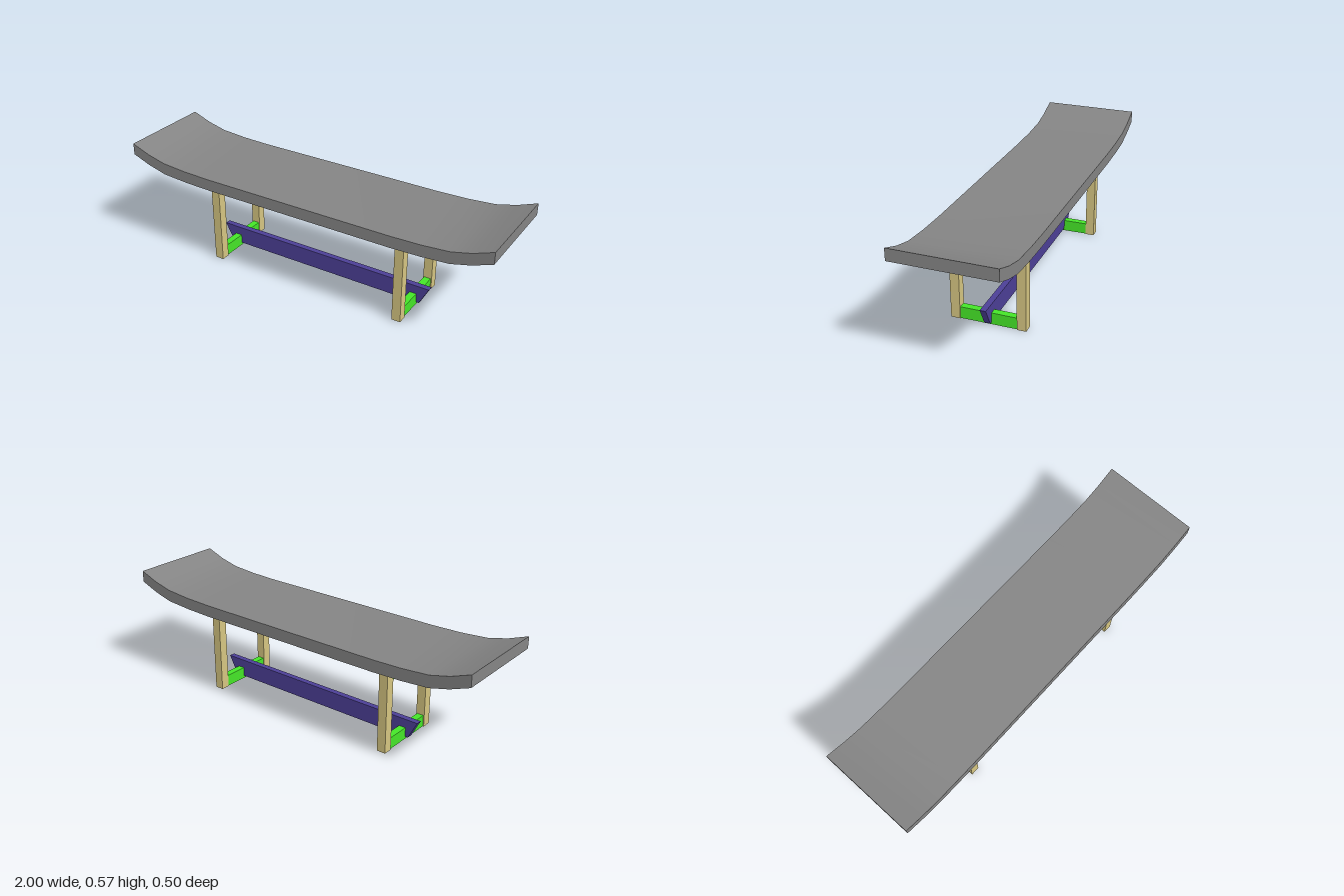
import * as THREE from 'three';
import { toCreasedNormals } from 'three/addons/utils/BufferGeometryUtils.js';

const mat = (color) => new THREE.MeshStandardMaterial({ color });

// Side profile in x/y, extruded along z and centred on z = 0
function slab(name, points, depth, material) {
  const shape = new THREE.Shape(points.map(([x, y]) => new THREE.Vector2(x, y)));
  const geometry = new THREE.ExtrudeGeometry(shape, { depth, bevelEnabled: false });
  geometry.translate(0, 0, -depth / 2);
  const mesh = new THREE.Mesh(toCreasedNormals(geometry, 0.5), material);
  mesh.name = name;
  return mesh;
}

function box(name, w, h, d, x, y, z, material) {
  const mesh = new THREE.Mesh(new THREE.BoxGeometry(w, h, d), material);
  mesh.position.set(x, y, z);
  mesh.name = name;
  return mesh;
}

export function createModel() {
  const group = new THREE.Group();
  group.name = 'bench';
  const seatMat = mat(0x848484);
  const legMat = mat(0xd5c581);
  const railMat = mat(0x45e528);
  const beamMat = mat(0x4c3f96);

  // Seat: flat in the middle, curling up at both ends
  const bottom = [[0.51, 0.432], [0.66, 0.436], [0.8, 0.446], [0.9, 0.472], [1, 0.51]];
  const top = [[1, 0.57], [0.9, 0.532], [0.8, 0.507], [0.66, 0.496], [0.51, 0.492]];
  const half = [...bottom, ...top];
  const mirrored = half.map(([x, y]) => [-x, y]).reverse();
  group.add(slab('seat', [...half, ...mirrored], 0.5, seatMat));

  // Two end frames, each with two legs and two cross rails
  for (const side of [1, -1]) {
    const frame = new THREE.Group();
    frame.name = side > 0 ? 'leftFrame' : 'rightFrame';
    const x = side * 0.526;
    frame.add(box('frontLeg', 0.046, 0.433, 0.046, x, 0.2165, 0.165, legMat));
    frame.add(box('backLeg', 0.046, 0.433, 0.046, x, 0.2165, -0.165, legMat));
    frame.add(box('upperRail', 0.036, 0.06, 0.284, x, 0.392, 0, railMat));
    frame.add(box('lowerRail', 0.036, 0.06, 0.284, x, 0.03, 0, railMat));
    group.add(frame);
  }

  // Long stretcher with slanted ends
  group.add(slab('stretcher',
    [[-0.56, 0.012], [0.56, 0.012], [0.609, 0.105], [-0.609, 0.105]], 0.03, beamMat));

  return group;
}
